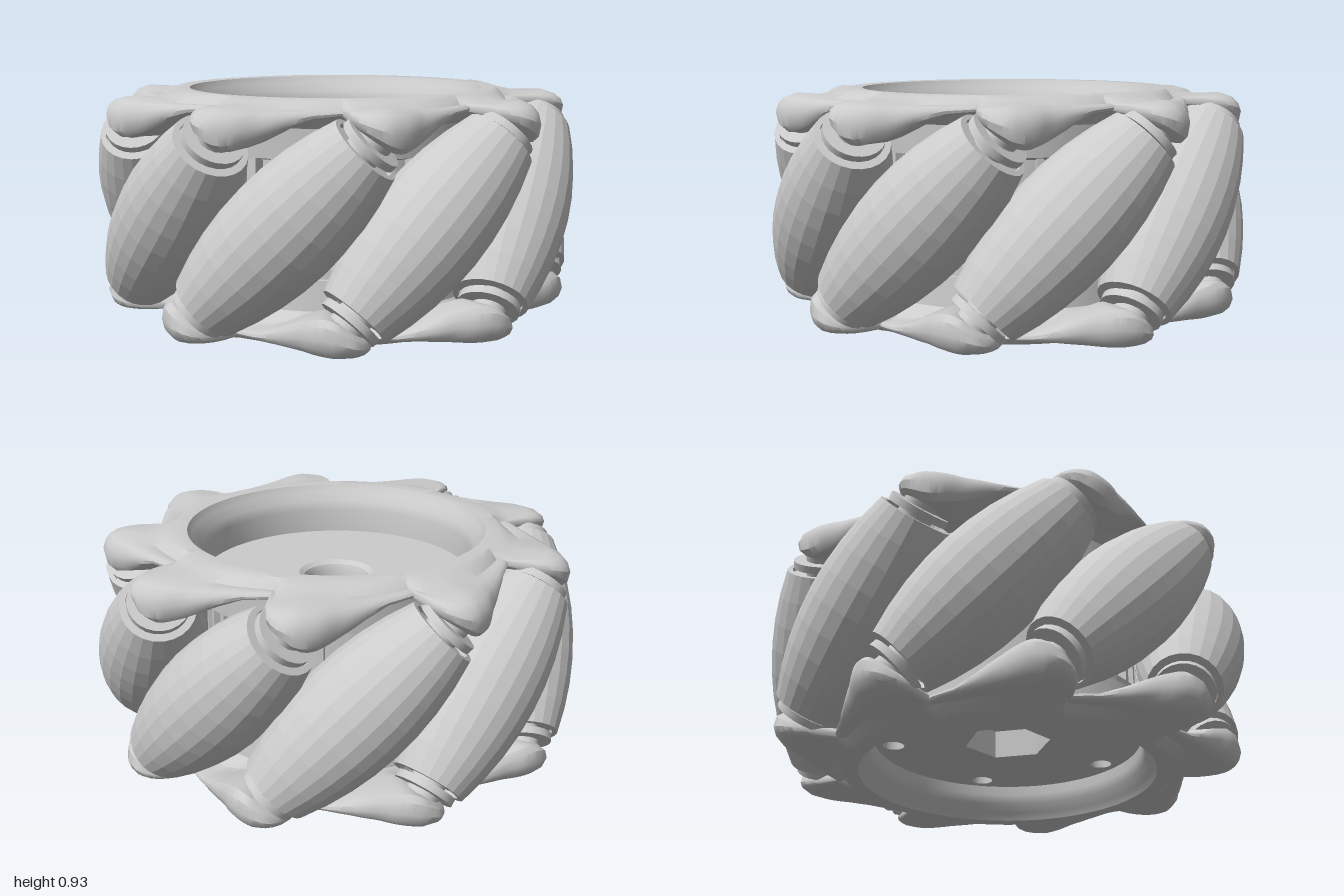
import * as THREE from 'three';
import { toCreasedNormals } from 'three/addons/utils/BufferGeometryUtils.js';

const COUNT = 9, MID = 0.47, PHASE = -8;
const rad = THREE.MathUtils.degToRad, lerp = THREE.MathUtils.lerp;
const mat = new THREE.MeshStandardMaterial({ color: 0xcccccc });
const flat = new THREE.MeshStandardMaterial({ color: 0xcccccc, flatShading: true });

function mesh(name, geometry, material = mat) {
  const m = new THREE.Mesh(geometry, material);
  m.name = name;
  return m;
}

const lathe = (points, sides) =>
  new THREE.LatheGeometry(points.map(([r, y]) => new THREE.Vector2(r, y)), sides);

// Linear interpolation through [angle, value] keys
function sample(keys, a) {
  for (let i = 1; i < keys.length; i++) {
    const [a0, v0] = keys[i - 1], [a1, v1] = keys[i];
    if (a <= a1) return lerp(v0, v1, (a - a0) / (a1 - a0));
  }
  return keys[keys.length - 1][1];
}

// One lug pitch (8 to 48 degrees): outer radius, underside and top height
const RIM = [[8, 0.75], [9.5, 0.86], [11.5, 0.925], [14, 0.955], [17.5, 0.965], [21, 0.945],
  [24, 0.915], [27, 0.875], [34, 0.82], [40, 0.78], [48, 0.75]];
const UNDER = [[8, 0.88], [10, 0.86], [14, 0.815], [18, 0.77], [21, 0.76], [26, 0.785],
  [34, 0.84], [40, 0.87], [48, 0.88]];
const TOP = [[8, 0.905], [12, 0.912], [18, 0.92], [25, 0.912], [34, 0.905], [48, 0.905]];

// Ring with saw-tooth lugs, swept from cross-sections around the axis
function plateGeometry() {
  const steps = COUNT * 26, pos = [], idx = [];
  let n = 0;
  for (let i = 0; i < steps; i++) {
    const deg = (i * 360) / steps + 8;
    const local = ((deg - 8 + 1e-6) % 40) + 8;
    const R = sample(RIM, local), yb = sample(UNDER, local), yt = sample(TOP, local);
    const at = (k) => lerp(0.67, R, k);
    const section = [
      [0.555, 0.7], [0.555, 0.83], [0.565, 0.87], [0.595, 0.905], [0.61, 0.935], [0.665, 0.937],
      [at(0.15), 0.925], [at(0.4), yt - 0.006], [at(0.7), yt], [at(0.87), lerp(yb, yt, 0.88)],
      [at(0.96), lerp(yb, yt, 0.7)], [R, lerp(yb, yt, 0.45)], [at(0.97), lerp(yb, yt, 0.15)],
      [at(0.88), yb], [at(0.4), yb], [0.66, lerp(yb, 0.86, 0.5)], [0.61, 0.82], [0.6, 0.7],
    ];
    n = section.length;
    const s = Math.sin(rad(deg)), c = Math.cos(rad(deg));
    section.forEach(([r, y], j) => {
      pos.push(r * s, y, r * c);
      const i2 = (i + 1) % steps, j2 = (j + 1) % n;
      const a = i * n + j, b = i2 * n + j, d = i * n + j2, e = i2 * n + j2;
      idx.push(a, d, b, b, d, e);
    });
  }
  const g = new THREE.BufferGeometry();
  g.setAttribute('position', new THREE.Float32BufferAttribute(pos, 3));
  g.setIndex(idx);
  return toCreasedNormals(g, 0.6);
}

// Barrel roller with stepped ends, washers and axle, lying at 45 degrees
function makeRoller() {
  const g = new THREE.Group();
  const L = 0.43, barrel = [[0.07, -L + 0.02], [0.125, -L + 0.02], [0.125, -L]];
  for (let i = 0; i <= 8; i++) {
    const s = L * (i / 4 - 1);
    barrel.push([0.22 - 0.4 * s * s, s]);
  }
  barrel.push([0.125, L], [0.125, L - 0.02], [0.07, L - 0.02]);
  g.add(mesh('rollerBarrel', lathe(barrel, 24), flat));
  g.add(mesh('rollerAxle', new THREE.CylinderGeometry(0.07, 0.07, 1.06, 16)));
  for (const side of [-1, 1]) {
    const washer = mesh('rollerWasher', new THREE.CylinderGeometry(0.12, 0.12, 0.03, 24));
    washer.position.y = side * (L + 0.025);
    g.add(washer);
  }
  g.position.set(0, MID, 0.78);
  g.rotation.z = -Math.PI / 4;
  return g;
}

// Bottom disc with hexagonal socket and five blind screw holes
function bottomDiscGeometry() {
  const shape = new THREE.Shape().absarc(0, 0, 0.58, 0, Math.PI * 2);
  const hex = [];
  for (let i = 0; i < 6; i++) {
    const a = rad(45 + i * 60);
    hex.push(new THREE.Vector2(0.18 * Math.cos(a), 0.18 * Math.sin(a)));
  }
  shape.holes.push(new THREE.Path(hex));
  for (let i = 0; i < 5; i++) {
    const a = rad(-90 + i * 72);
    shape.holes.push(new THREE.Path().absarc(0.48 * Math.cos(a), 0.48 * Math.sin(a), 0.045, 0, Math.PI * 2, true));
  }
  return new THREE.ExtrudeGeometry(shape, { depth: 0.13, bevelEnabled: false, curveSegments: 24 })
    .rotateX(-Math.PI / 2).translate(0, 0.15, 0);
}

export function createModel() {
  const wheel = new THREE.Group();
  wheel.name = 'rollerWheel';

  // Lugged plates; the lower one is turned half over about a roller's radial line
  const plate = plateGeometry();
  wheel.add(mesh('upperPlate', plate));
  const lower = mesh('lowerPlate', plate);
  const axis = new THREE.Vector3(Math.sin(rad(PHASE)), 0, Math.cos(rad(PHASE)));
  lower.quaternion.setFromAxisAngle(axis, Math.PI);
  lower.position.y = 2 * MID;
  wheel.add(lower);

  // Rollers
  for (let i = 0; i < COUNT; i++) {
    const holder = new THREE.Group();
    holder.name = 'roller';
    holder.add(makeRoller());
    holder.rotation.y = rad(PHASE + i * 40);
    wheel.add(holder);
  }

  // Core drum with counterbored centre hole
  const core = lathe([[0.055, 0.27], [0.5, 0.27], [0.5, 0.68], [0.58, 0.7], [0.58, 0.73], [0.155, 0.73],
    [0.135, 0.715], [0.125, 0.69], [0.125, 0.62], [0.055, 0.62], [0.055, 0.27]], 64);
  wheel.add(mesh('coreDrum', toCreasedNormals(core, 0.5)));
  wheel.add(mesh('bottomDisc', bottomDiscGeometry()));

  // Upright ribs around the drum
  const ribGeometry = new THREE.BoxGeometry(0.025, 0.46, 0.07).translate(0, MID, 0.51);
  for (let i = 0; i < 36; i++) {
    const rib = mesh('drumRib', ribGeometry);
    rib.rotation.y = rad(i * 10);
    wheel.add(rib);
  }
  return wheel;
}
